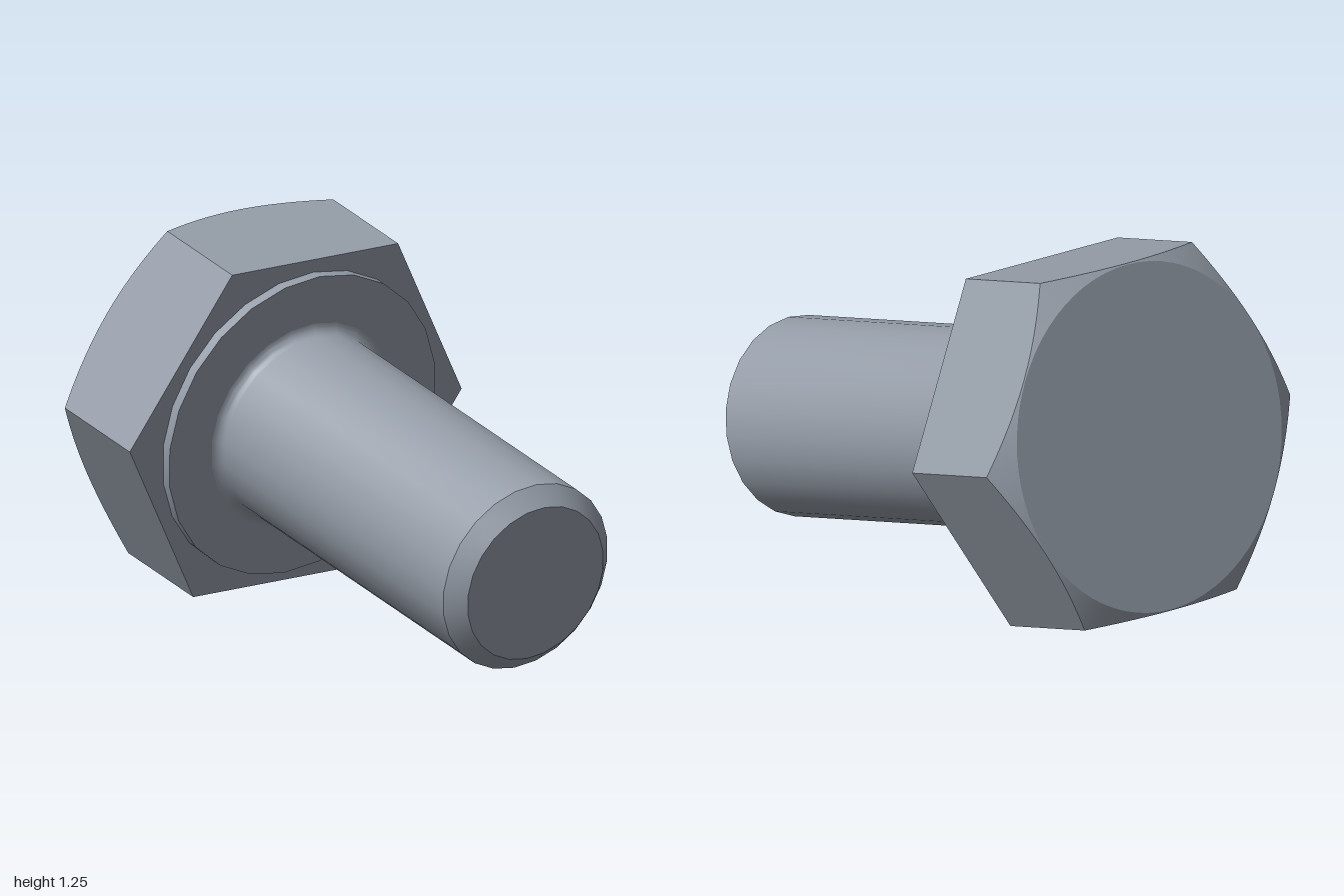
import * as THREE from 'three';
import { toCreasedNormals } from 'three/addons/utils/BufferGeometryUtils.js';

// Bolt sizes, measured along the bolt axis from the underside of the head
const HEAD_HEIGHT = 0.433, CORNER_RADIUS = 0.686, TOP_RADIUS = 0.59;
const WASHER_RADIUS = 0.547, WASHER_HEIGHT = 0.037;
const SHAFT_RADIUS = 0.338, TIP = 1.394, CHAMFER = 0.059, FILLET = 0.035;

const turned = (points, segments) =>
  new THREE.LatheGeometry(points.map(([r, y]) => new THREE.Vector2(r, y)), segments);

// Hexagonal head: a turned profile whose outer rings are pushed out to a hexagon,
// with the 30 degree conical chamfer falling away towards the corners
function headGeometry() {
  const segments = 72, rings = 5;
  const geometry = turned(
    [[0, -HEAD_HEIGHT], [TOP_RADIUS, -HEAD_HEIGHT], [1, -0.4], [1, 0], [0, 0]], segments);
  const position = geometry.attributes.position;
  const apothem = CORNER_RADIUS * Math.cos(Math.PI / 6);
  for (let i = 0; i <= segments; i++) {
    const angle = (i / segments) * Math.PI * 2;
    const within = ((i % (segments / 6)) / segments) * Math.PI * 2 - Math.PI / 6;
    const r = apothem / Math.cos(within);
    const drop = (r - TOP_RADIUS) * Math.tan(Math.PI / 6);
    const x = r * Math.sin(angle), z = r * Math.cos(angle);
    position.setXYZ(i * rings + 2, x, -HEAD_HEIGHT + drop, z);
    position.setXYZ(i * rings + 3, x, 0, z);
  }
  return toCreasedNormals(geometry, 0.4);
}

// Shaft profile: rounded fillet at the root, straight shank, chamfered tip
function shaftGeometry() {
  const points = [];
  for (let i = 0; i <= 6; i++) {
    const a = (i / 6) * Math.PI / 2;
    points.push([
      SHAFT_RADIUS + FILLET * (1 - Math.sin(a)),
      WASHER_HEIGHT + FILLET * (1 - Math.cos(a)),
    ]);
  }
  points.push([SHAFT_RADIUS, TIP - CHAMFER], [SHAFT_RADIUS - CHAMFER, TIP], [0, TIP]);
  return toCreasedNormals(turned(points, 24), 0.4);
}

export function createModel() {
  const steel = new THREE.MeshStandardMaterial({ color: 0x959da8 });
  steel.name = 'steel';

  const bolt = new THREE.Group();
  bolt.name = 'hexBolt';
  const add = (name, geometry) => {
    const mesh = new THREE.Mesh(geometry, steel);
    mesh.name = name;
    bolt.add(mesh);
  };

  add('hexHead', headGeometry());
  add('washerFace', toCreasedNormals(turned(
    [[WASHER_RADIUS, 0], [WASHER_RADIUS, WASHER_HEIGHT], [0, WASHER_HEIGHT]], 24), 0.4));
  add('shaft', shaftGeometry());

  // Lean the bolt so that it rests on a head flat and the rim of the tip
  const axis = new THREE.Vector3(1, -0.195, 0.212).normalize();
  const corner = new THREE.Vector3(-axis.z, 0, axis.x).normalize();
  const side = new THREE.Vector3().crossVectors(axis, corner);
  bolt.quaternion.setFromRotationMatrix(new THREE.Matrix4().makeBasis(side, axis, corner));
  bolt.position.set(-0.421, 0.584, 0.04);

  const model = new THREE.Group();
  model.name = 'model';
  model.add(bolt);
  return model;
}
